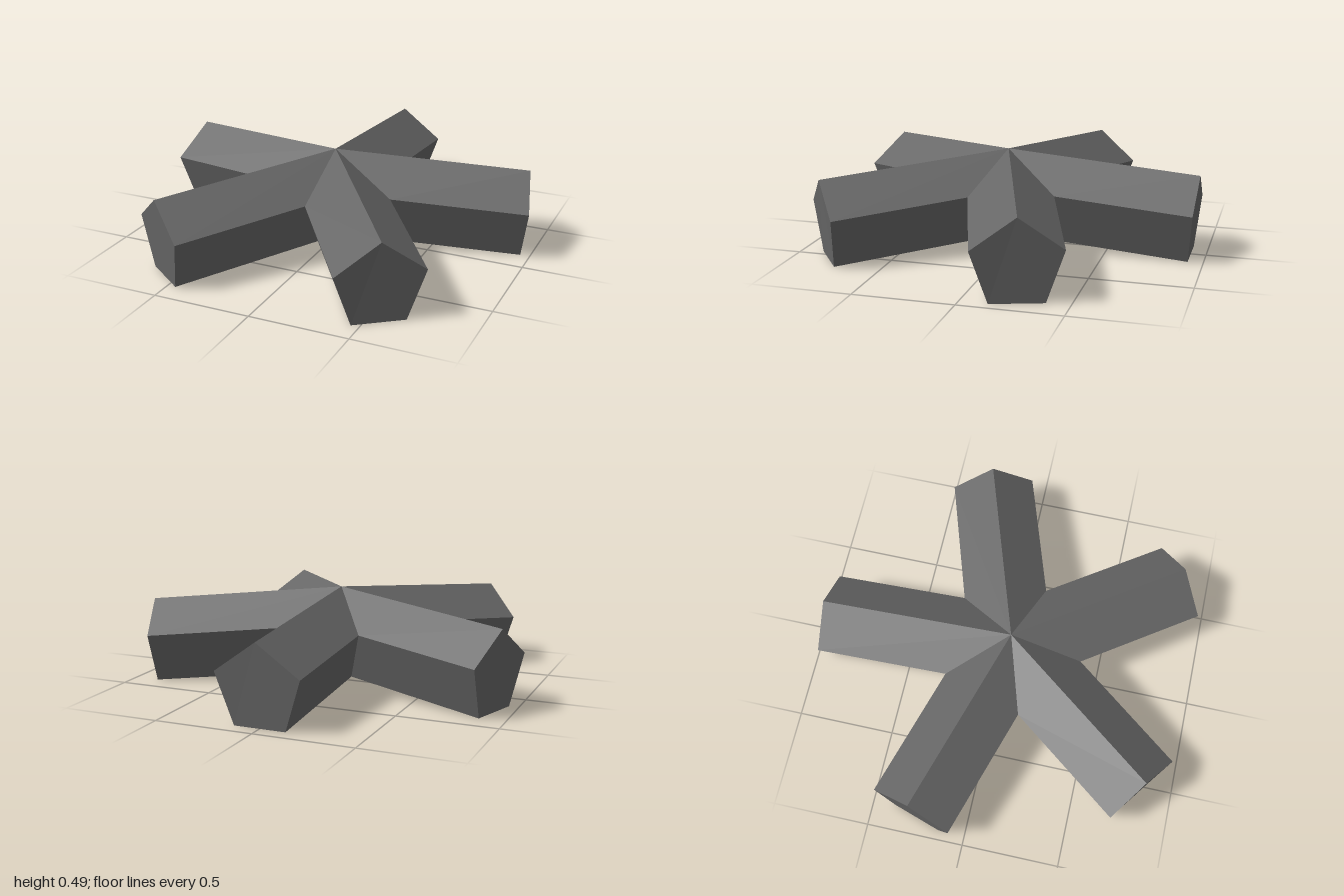
import * as THREE from 'three';

const ARMS = 5;
const SLOPE = 0.08; // fall of every arm edge per unit of length

// Pentagon section of an arm pointing to +z: half-width, end height, end distance
const SECTION = [
  [0, 0.41, 0.99],
  [0.215, 0.255, 0.982],
  [0.13, 0, 0.958],
  [-0.13, 0, 0.958],
  [-0.215, 0.255, 0.982],
];

function armGeometry() {
  const outer = SECTION;
  // Each edge runs back to the mitre plane shared with the neighbouring arm
  const inner = SECTION.map(([x, y, z]) => {
    const start = Math.abs(x) / Math.tan(Math.PI / ARMS);
    return [x, y + SLOPE * (z - start), start];
  });
  const hubBottom = [0, SLOPE * SECTION[2][2], 0];
  const positions = [];
  const tri = (a, b, c) => positions.push(...a, ...b, ...c);

  // Long sides
  for (let i = 0; i < 5; i++) {
    const j = (i + 1) % 5;
    tri(inner[i], outer[i], outer[j]);
    tri(inner[i], outer[j], inner[j]);
  }
  // End cap
  for (let i = 1; i < 4; i++) tri(outer[0], outer[i + 1], outer[i]);
  // Wedge of the hub underside
  tri(inner[2], inner[3], hubBottom);

  const geometry = new THREE.BufferGeometry();
  geometry.setAttribute('position', new THREE.Float32BufferAttribute(positions, 3));
  geometry.computeVertexNormals();
  return geometry;
}

export function createModel() {
  const model = new THREE.Group();
  model.name = 'fiveArmedStar';
  const grey = new THREE.MeshStandardMaterial({ color: 0x666666 });
  grey.name = 'dark grey';

  // Five equal arms around a hub slightly in front of the centre
  const geometry = armGeometry();
  for (let i = 0; i < ARMS; i++) {
    const arm = new THREE.Mesh(geometry, grey);
    arm.name = `arm${i + 1}`;
    arm.position.z = 0.035;
    arm.rotation.y = Math.PI + (i * 2 * Math.PI) / ARMS;
    model.add(arm);
  }
  return model;
}
